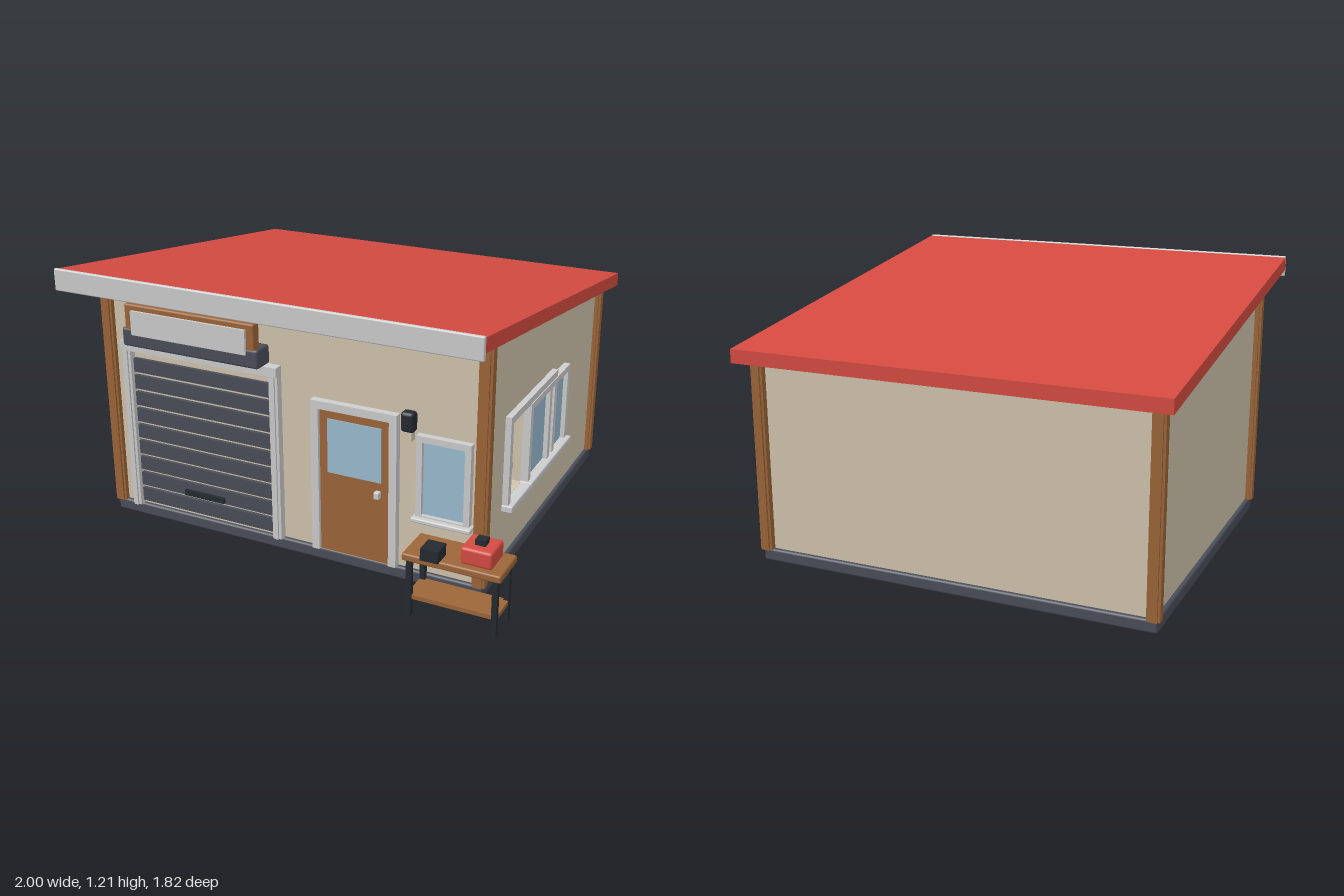
import * as THREE from 'three';
import { RoundedBoxGeometry } from 'three/addons/geometries/RoundedBoxGeometry.js';

const mat = (name, color) => {
  const m = new THREE.MeshStandardMaterial({ color });
  m.name = name;
  return m;
};

export function createModel() {
  const root = new THREE.Group();
  root.name = 'workshop';
  const wall = mat('beige plaster', 0xd0c4ad), red = mat('roof red', 0xd44b41);
  const wood = mat('brown wood', 0x9c6539), slate = mat('slate', 0x4a4e59);
  const light = mat('light grey trim', 0xcdcdce), glass = mat('blue glass', 0x9bbcd1);
  const black = mat('black metal', 0x252a30);

  const group = (name) => {
    const g = new THREE.Group();
    g.name = name;
    root.add(g);
    return g;
  };
  // Box given by its ranges, with an optional rounded edge
  const box = (parent, name, m, x0, x1, y0, y1, z0, z1, r = 0) => {
    const s = [x1 - x0, y1 - y0, z1 - z0];
    const geo = r ? new RoundedBoxGeometry(...s, 2, r) : new THREE.BoxGeometry(...s);
    const mesh = new THREE.Mesh(geo, m);
    mesh.position.set((x0 + x1) / 2, (y0 + y1) / 2, (z0 + z1) / 2);
    mesh.name = name;
    parent.add(mesh);
    return mesh;
  };
  // Side profile of [z, y] points swept from x0 to x1, with an optional hole
  const sweep = (name, m, pts, x0, x1, hole) => {
    const shape = new THREE.Shape(pts.map(([z, y]) => new THREE.Vector2(z, y)));
    if (hole) shape.holes.push(new THREE.Path(hole.map(([z, y]) => new THREE.Vector2(z, y))));
    const geo = new THREE.ExtrudeGeometry(shape, { depth: x1 - x0, bevelEnabled: false });
    geo.rotateY(-Math.PI / 2);
    const mesh = new THREE.Mesh(geo, m);
    mesh.position.x = x1;
    mesh.name = name;
    root.add(mesh);
  };
  const under = (z) => 1.14 + (z - 0.87) * 0.1376;

  // Foundation, walls and sloping roof
  box(root, 'foundation', slate, -0.945, 0.838, 0.005, 0.06, -0.838, 0.652, 0.01);
  const profile = [[-0.82, 0.055], [0.635, 0.055], [0.635, under(0.635)], [-0.82, under(-0.82)]];
  sweep('walls', wall, profile, -0.925, 0.74);
  sweep('rightWall', wall, profile, 0.74, 0.82,
    [[0.175, 0.315], [0.175, 0.675], [0.38, 0.675], [0.38, 0.315]]);
  sweep('roof', red, [[-0.91, under(-0.91)], [0.87, under(0.87)],
    [0.87, under(0.87) + 0.06], [-0.91, under(-0.91) + 0.06]], -1, 0.895);
  box(root, 'roofFascia', light, -1, 0.895, 1.11, 1.205, 0.866, 0.884, 0.006);

  // Stepped corner posts
  for (const x of [-0.928, 0.82]) for (const z of [0.637, -0.827]) {
    const post = group('cornerPost'), top = under(z) + 0.006;
    box(post, 'postWide', wood, x - 0.028, x + 0.028, 0.058, top, z - 0.018, z + 0.018);
    box(post, 'postDeep', wood, x - 0.018, x + 0.018, 0.058, top, z - 0.027, z + 0.027);
  }

  // Garage door with slats
  const garage = group('garageDoor');
  for (let i = 0; i < 9; i++) {
    const y = 0.078 + i * 0.0781;
    box(garage, 'slat', slate, -0.805, -0.12, y, y + 0.063, 0.63, 0.652);
  }
  box(garage, 'handle', black, -0.565, -0.365, 0.163, 0.188, 0.65, 0.667);
  for (const [a, b] of [[-0.85, -0.808], [-0.117, -0.075]]) {
    box(garage, 'jamb', light, a, b, 0.06, 0.81, 0.63, 0.668);
    box(garage, 'jambRib', light, a + 0.012, b - 0.012, 0.06, 0.81, 0.66, 0.676);
  }
  box(garage, 'lintel', light, -0.85, -0.075, 0.808, 0.85, 0.63, 0.68);

  // Blank sign above the garage
  const sign = group('sign');
  box(sign, 'shutterHousing', slate, -0.797, -0.128, 0.85, 0.933, 0.63, 0.727, 0.012);
  box(sign, 'signBoard', wood, -0.78, -0.145, 0.9, 1.04, 0.68, 0.724, 0.008);
  box(sign, 'signPanel', light, -0.742, -0.182, 0.908, 1.015, 0.72, 0.735);
  for (const x of [-0.695, -0.23]) {
    box(sign, 'bracket', black, x - 0.012, x + 0.012, 1.037, 1.06, 0.63, 0.7);
  }

  // Entrance door
  const door = group('entranceDoor');
  box(door, 'jamb', light, 0.075, 0.11, 0.06, 0.74, 0.63, 0.668);
  box(door, 'jamb', light, 0.428, 0.462, 0.06, 0.74, 0.63, 0.668);
  box(door, 'header', light, 0.11, 0.428, 0.705, 0.74, 0.63, 0.668);
  box(door, 'leaf', wood, 0.11, 0.428, 0.06, 0.705, 0.63, 0.652);
  box(door, 'pane', glass, 0.147, 0.39, 0.425, 0.665, 0.65, 0.657);
  box(door, 'knob', light, 0.365, 0.39, 0.358, 0.39, 0.652, 0.678, 0.005);

  // Wall lamp
  const lamp = group('wallLamp');
  box(lamp, 'lampHood', black, 0.48, 0.538, 0.68, 0.765, 0.63, 0.678, 0.014);
  box(lamp, 'lampShade', wall, 0.49, 0.526, 0.642, 0.685, 0.633, 0.668);

  // Front window
  const win = group('frontWindow');
  box(win, 'pane', glass, 0.565, 0.755, 0.32, 0.65, 0.633, 0.645);
  box(win, 'stile', light, 0.545, 0.57, 0.31, 0.673, 0.63, 0.663);
  box(win, 'stile', light, 0.75, 0.776, 0.31, 0.673, 0.63, 0.663);
  box(win, 'topRail', light, 0.57, 0.75, 0.646, 0.673, 0.63, 0.663);
  box(win, 'bottomRail', light, 0.57, 0.75, 0.31, 0.326, 0.63, 0.663);
  box(win, 'sill', light, 0.533, 0.79, 0.3, 0.32, 0.63, 0.686, 0.006);

  // Side window: open frame overlapped by a glazed frame
  const side = group('sideWindow');
  for (const [a, b] of [[0.38, 0.41], [-0.185, -0.152]]) {
    box(side, 'outerStile', light, 0.815, 0.846, 0.3, 0.705, a, b);
  }
  box(side, 'outerTopRail', light, 0.815, 0.846, 0.673, 0.705, -0.152, 0.38);
  box(side, 'outerSill', light, 0.815, 0.868, 0.283, 0.314, -0.183, 0.415, 0.006);
  for (const [a, b] of [[0.145, 0.175], [-0.105, -0.076], [-0.355, -0.325]]) {
    box(side, 'glazedStile', light, 0.815, 0.85, 0.31, 0.675, a, b);
  }
  box(side, 'glazedTopRail', light, 0.815, 0.85, 0.647, 0.675, -0.325, 0.145);
  box(side, 'glazedSill', light, 0.815, 0.872, 0.296, 0.32, -0.366, 0.184, 0.006);
  box(side, 'pane', glass, 0.815, 0.83, 0.315, 0.65, -0.33, 0.15);

  // Tools and shelf inside the open bay
  const tools = group('hangingTools');
  box(tools, 'tool', black, 0.738, 0.755, 0.512, 0.632, 0.292, 0.32);
  box(tools, 'tool', black, 0.738, 0.755, 0.468, 0.615, 0.23, 0.247);
  box(tools, 'shelf', light, 0.738, 0.78, 0.367, 0.4, 0.17, 0.29);

  // Workbench
  const bench = group('workbench');
  box(bench, 'benchTop', wood, 0.59, 0.997, 0.248, 0.28, 0.71, 0.894, 0.008);
  box(bench, 'lowerShelf', wood, 0.605, 0.98, 0.074, 0.092, 0.735, 0.872);
  for (const x of [0.616, 0.971]) for (const z of [0.736, 0.871]) {
    box(bench, 'benchLeg', black, x - 0.011, x + 0.011, 0, 0.25, z - 0.011, z + 0.011);
  }
  box(bench, 'toolbox', red, 0.822, 0.952, 0.28, 0.352, 0.742, 0.87, 0.012);
  box(bench, 'toolboxHandle', black, 0.865, 0.908, 0.35, 0.375, 0.785, 0.828);
  box(bench, 'vise', black, 0.676, 0.75, 0.28, 0.33, 0.83, 0.912);
  return root;
}
